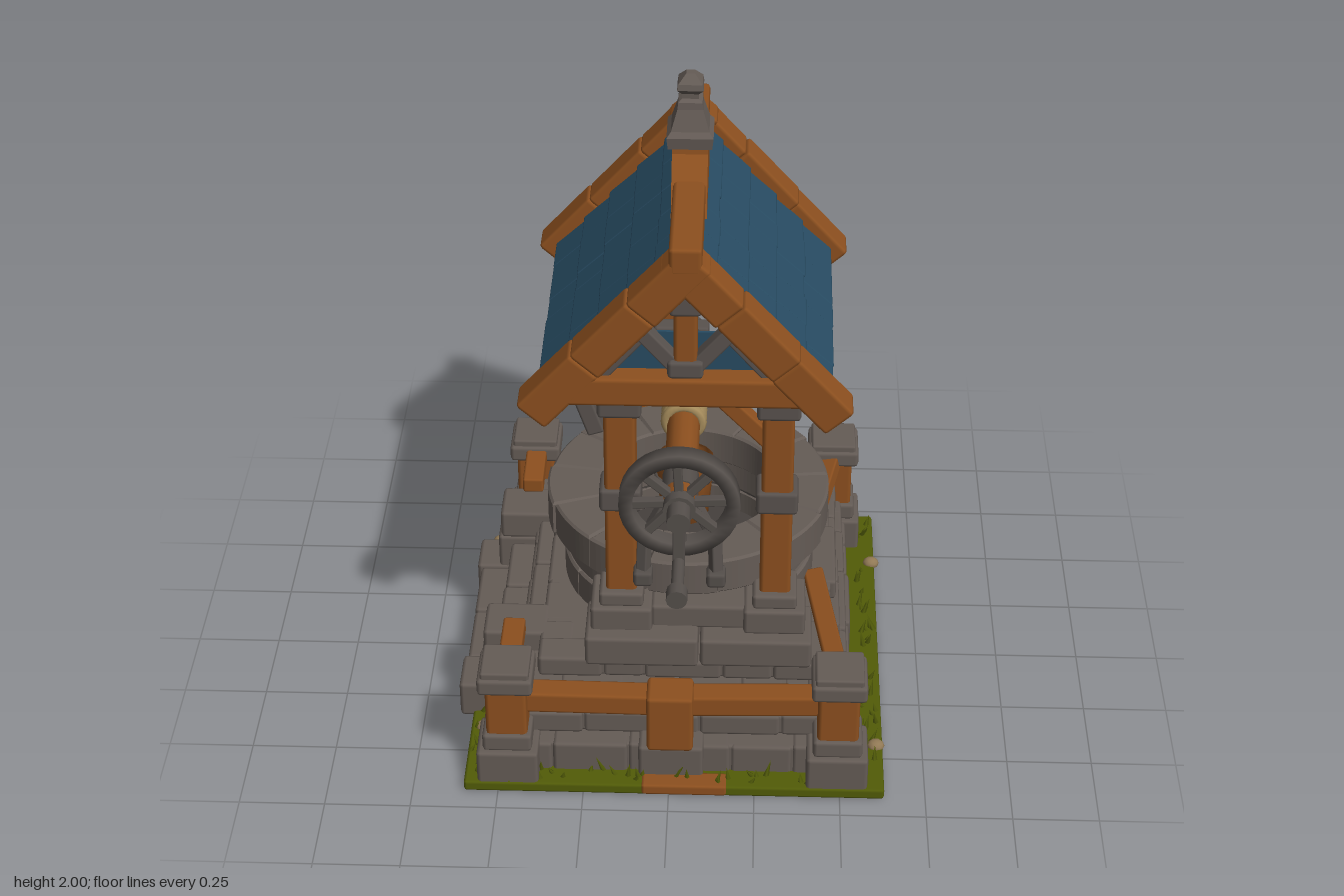
import * as THREE from 'three';
import { RoundedBoxGeometry } from 'three/addons/geometries/RoundedBoxGeometry.js';

const mat = (name, color) => Object.assign(new THREE.MeshStandardMaterial({ color }), { name });
const stone = mat('stone', 0x655c56), darkStone = mat('dark stone', 0x59524e), iron = mat('iron', 0x554f4b);
const wood = mat('wood', 0x8d501f), underWood = mat('shaded wood', 0x6e421c), slate = mat('blue slate', 0x284c63);
const grass = mat('grass', 0x525c08), rope = mat('rope', 0xa68c5c), pebble = mat('pebble', 0x927a56);

let seed = 7;
const rnd = () => (seed = (seed * 16807) % 2147483647) / 2147483647;
const jit = (a) => (rnd() - 0.5) * 2 * a;
const CX = 0.04, CZ = -0.03; // centre of the well and roof

export function createModel() {
  const root = new THREE.Group();
  root.name = 'well';
  const group = (name, parent = root) => {
    const g = new THREE.Group();
    g.name = name;
    parent.add(g);
    return g;
  };
  const add = (name, geo, m, p = [0, 0, 0], parent = root) => {
    const mesh = new THREE.Mesh(geo, m);
    mesh.name = name;
    mesh.position.set(...p);
    parent.add(mesh);
    return mesh;
  };
  // Chamfered block given by its extents
  const box = (name, m, x0, x1, y0, y1, z0, z1, parent = root) => {
    const s = [x1 - x0, y1 - y0, z1 - z0];
    const geo = new RoundedBoxGeometry(...s, 1, Math.min(0.012, Math.min(...s) * 0.25));
    return add(name, geo, m, [(x0 + x1) / 2, (y0 + y1) / 2, (z0 + z1) / 2], parent);
  };
  // Beam or rod between two points
  const span = (name, m, a, b, w, d, parent = root, round = false) => {
    const A = new THREE.Vector3(...a), B = new THREE.Vector3(...b), len = A.distanceTo(B);
    const geo = round ? new THREE.CylinderGeometry(w, d, len, 12)
      : new RoundedBoxGeometry(w, len, d, 1, Math.min(w, d) * 0.15);
    const mesh = add(name, geo, m, A.clone().lerp(B, 0.5).toArray(), parent);
    mesh.quaternion.setFromUnitVectors(new THREE.Vector3(0, 1, 0), B.sub(A).normalize());
    return mesh;
  };
  // Row of masonry around a rectangular core
  const course = (name, x0, x1, y0, y1, z0, z1, n) => {
    const g = group(name), t = 0.1;
    box('core', stone, x0 + 0.008, x1 - 0.008, y0, y1 - 0.004, z0 + 0.008, z1 - 0.008, g);
    const row = (a, b, place) => {
      const step = (b - a) / n;
      let from = a;
      for (let i = 1; i <= n; i++) {
        const to = i === n ? b : a + i * step + jit(step * 0.2);
        place(from + 0.001, to - 0.001, jit(0.005), jit(0.004));
        from = to;
      }
    };
    for (const s of [0, 1]) {
      row(x0, x1, (a, b, o, h) => box('block', stone, a, b, y0, y1 + h, s ? z1 - t : z0 + o, s ? z1 + o : z0 + t, g));
      row(z0, z1, (a, b, o, h) => box('block', stone, s ? x1 - t : x0 + o, s ? x1 + o : x0 + t, y0, y1 + h, a, b, g));
    }
  };

  // Ground: turf, tufts, pebbles and threshold planks
  box('turf', grass, -0.6, 0.63, 0.005, 0.04, -0.68, 0.68);
  const tufts = group('grassTufts');
  for (let i = 0; i < 150; i++) {
    const side = i % 4, u = rnd() * 2 - 1, e = 0.005 + rnd() * 0.05;
    const p = side < 2 ? [0.015 + u * 0.58, (0.67 - e) * (side ? 1 : -1)] : [side === 2 ? 0.62 - e : -0.59 + e, u * 0.64];
    const h = 0.025 + rnd() * 0.035;
    const blade = add('blade', new THREE.ConeGeometry(0.009, h, 4), grass, [p[0], 0.035 + h / 2, p[1]], tufts);
    blade.rotation.set(jit(0.5), 0, jit(0.5));
  }
  for (const [x, z] of [[-0.505, -0.685], [-0.59, -0.5], [-0.25, -0.66], [0.62, -0.42], [0.61, 0.48], [-0.56, 0.43]]) {
    const p = add('pebble', new THREE.IcosahedronGeometry(0.026, 1), pebble, [x, 0.04, z]);
    p.scale.set(1, 0.75, 0.9);
  }
  box('frontThreshold', wood, -0.08, 0.17, 0.008, 0.045, 0.62, 0.685);
  box('backThreshold', wood, -0.08, 0.17, 0.008, 0.045, -0.685, -0.62);

  // Stepped stone platform
  course('lowerCourse', -0.5, 0.54, 0.02, 0.135, -0.61, 0.61, 6);
  course('middleCourse', -0.47, 0.52, 0.135, 0.21, -0.56, 0.56, 5);
  course('upperCourse', -0.45, 0.5, 0.21, 0.28, -0.53, 0.53, 6);
  course('topCourse', -0.39, 0.47, 0.28, 0.345, -0.5, 0.48, 5);

  // Entrance steps and cheek blocks on the right side
  [[-0.63, 0.13], [-0.53, 0.23], [-0.44, 0.32]].forEach(([x, h]) => {
    for (const [a, b] of [[-0.24, -0.02], [-0.015, 0.21]]) box('step', stone, x + jit(0.006), -0.32, 0.02, h, a, b);
  });
  for (const z of [-0.38, 0.215]) {
    box('cheekFoot', stone, -0.64, -0.53, 0.02, 0.14, z, z + 0.145);
    box('cheekMiddle', stone, -0.57, -0.4, 0.02, 0.25, z + 0.005, z + 0.14);
    box('cheekTop', stone, -0.56, -0.37, 0.25, 0.345, z, z + 0.145);
  }

  // Corner bollards
  for (const x of [-0.47, 0.49]) for (const z of [-0.585, 0.59]) {
    const g = group('cornerPost');
    g.position.set(x, 0, z);
    box('foot', stone, -0.09, 0.09, 0.01, 0.145, -0.085, 0.085, g);
    box('collar', stone, -0.072, 0.072, 0.14, 0.2, -0.07, 0.07, g);
    box('post', wood, -0.06, 0.06, 0.19, 0.365, -0.06, 0.06, g);
    box('cap', stone, -0.08, 0.08, 0.355, 0.41, -0.08, 0.08, g);
    box('capTop', stone, -0.07, 0.07, 0.4, 0.43, -0.07, 0.07, g);
  }
  // Rails
  for (const z of [-0.57, 0.575]) {
    const s = Math.sign(z);
    span('rail', wood, [-0.43, 0.285, z], [0.01, 0.28, z], 0.07, 0.075);
    span('rail', wood, [0.01, 0.28, z], [0.45, 0.29, z], 0.07, 0.075);
    box('railPost', wood, -0.065, 0.07, 0.14, 0.335, z - 0.055 + s * 0.015, z + 0.055 + s * 0.015);
    box('railPostFoot', stone, -0.09, 0.1, 0.02, 0.145, z - 0.05, z + 0.06);
  }
  span('leftRail', wood, [0.485, 0.375, 0.55], [0.42, 0.37, 0.08], 0.06, 0.05);
  span('leftRail', wood, [0.485, 0.36, -0.55], [0.42, 0.385, -0.19], 0.06, 0.05);
  box('leftRailBlock', stone, 0.36, 0.49, 0.28, 0.35, -0.2, 0.09);
  for (const s of [-1, 1]) span('rightRail', wood, [-0.465, 0.375, s * 0.55], [-0.465, 0.37, s * 0.35], 0.065, 0.05);

  // Round well wall and rim built from curved stones
  const ring = (name, r0, r1, y0, y1, n, turn) => {
    const g = group(name), step = Math.PI * 2 / n, bevel = 0.007;
    g.position.set(CX, 0, CZ + 0.01);
    for (let i = 0; i < n; i++) {
      const a = turn + i * step + 0.02, b = turn + (i + 1) * step - 0.02, out = r1 + jit(0.005) - bevel;
      const shape = new THREE.Shape();
      shape.absarc(0, 0, out, a, b, false);
      shape.absarc(0, 0, r0 + bevel, b, a, true);
      const geo = new THREE.ExtrudeGeometry(shape, { depth: y1 - y0 - bevel * 2, curveSegments: 5, bevelSize: bevel, bevelThickness: bevel, bevelSegments: 1 });
      add('ringStone', geo.rotateX(-Math.PI / 2), stone, [0, y0 + bevel, 0], g);
    }
  };
  ring('lowerWall', 0.28, 0.375, 0.33, 0.435, 12, 0);
  ring('upperWall', 0.28, 0.372, 0.435, 0.54, 12, 0.26);
  ring('rim', 0.265, 0.422, 0.53, 0.645, 13, 0.1);
  const lining = add('wellLining', new THREE.CylinderGeometry(0.285, 0.285, 0.28, 32, 1, true), mat('well shadow', 0x45403d), [CX, 0.48, CZ + 0.01]);
  lining.material.side = THREE.DoubleSide;
  add('wellFloor', new THREE.CylinderGeometry(0.29, 0.29, 0.01, 32), lining.material, [CX, 0.352, CZ + 0.01]);

  // Stone piers under the roof posts
  box('frontPierBase', stone, -0.25, 0.08, 0.33, 0.43, 0.3, 0.49);
  box('frontPierBase', stone, 0.085, 0.41, 0.33, 0.425, 0.3, 0.485);
  box('frontPierMiddle', stone, -0.06, 0.22, 0.42, 0.5, 0.29, 0.42);
  for (const x of [-0.145, 0.3]) {
    box('frontPier', stone, x - 0.09, x + 0.09, 0.42, 0.505, 0.27, 0.445);
    box('frontPierTop', stone, x - 0.065, x + 0.065, 0.5, 0.55, 0.29, 0.43);
  }
  box('backPierBase', stone, -0.3, 0.16, 0.2, 0.34, -0.62, -0.42);
  box('backPierMiddle', stone, -0.27, 0.1, 0.33, 0.43, -0.6, -0.4);
  box('backPierTop', stone, -0.24, 0.06, 0.42, 0.505, -0.57, -0.4);
  box('backPierCap', stone, -0.215, 0.03, 0.5, 0.55, -0.54, -0.41);

  // Roof posts with stone collars and capitals
  const post = (x, z) => {
    box('roofPost', wood, x - 0.045, x + 0.045, 0.53, 1.24, z - 0.045, z + 0.045);
    box('postCollar', darkStone, x - 0.06, x + 0.06, 0.83, 0.905, z - 0.055, z + 0.055);
    box('postCapital', darkStone, x - 0.062, x + 0.062, 1.15, 1.22, z - 0.055, z + 0.055);
  };
  post(-0.145, 0.362);
  post(0.3, 0.362);
  post(-0.15, -0.475);
  post(-0.045, -0.475);
  box('axleBracket', darkStone, -0.08, 0.09, 0.83, 0.96, -0.43, -0.37);
  for (const x of [-0.145, 0.3]) box('wallPlate', wood, x - 0.04, x + 0.04, 1.2, 1.27, -0.48, 0.38);
  span('brace', wood, [0.11, 1.23, 0.36], [0.28, 1.05, 0.36], 0.05, 0.05);
  span('brace', wood, [-0.15, 1.21, -0.25], [-0.15, 1.0, -0.45], 0.05, 0.045);
  span('eaveBracket', darkStone, [-0.26, 1.23, 0.36], [-0.21, 1.08, 0.36], 0.05, 0.06);

  // Roof: both slopes built in a frame running down from the ridge
  const roof = group('roof');
  roof.position.set(CX, 1.72, -0.04);
  const theta = Math.atan2(0.5, 0.45);
  for (const turn of [0, Math.PI]) {
    const half = group('roofSide', roof), slope = group('slope', half);
    half.rotation.y = turn;
    slope.rotation.z = -theta;
    for (const z of [-0.437, 0.437]) {
      let from = 0.01;
      for (const to of [0.24, 0.47, 0.695]) {
        const o = jit(0.005);
        box('bargeBoard', wood, from, to + 0.004, -0.108 + o, o, z - 0.052 + o, z + 0.052 + o, slope);
        from = to;
      }
    }
    box('roofDeck', underWood, 0.06, 0.62, -0.1, -0.075, -0.39, 0.39, slope);
    for (const x of [0.2, 0.36, 0.52]) box('purlin', underWood, x - 0.025, x + 0.025, -0.125, -0.095, -0.39, 0.39, slope);
    for (let r = 0; r < 5; r++) {
      const row = group('slateRow', slope), n = 5;
      row.position.set(0.03 + r * 0.122, -0.065, 0);
      row.rotation.z = 0.09;
      let z = -0.388;
      for (let i = 1; i <= n; i++) {
        const to = i === n ? 0.388 : -0.388 + i * 0.776 / n + jit(0.04);
        box('slate', slate, 0, 0.136 + jit(0.004), 0, 0.026 + jit(0.0015), z - 0.003, to + 0.003, row);
        z = to;
      }
    }
  }
  box('ridgeBeam', wood, -0.045, 0.045, -0.085, -0.002, -0.49, 0.49, roof);

  // Gable framing at both ends, open above the low slate panel
  for (const z of [0.4, -0.48]) {
    const g = group('gable'), s = Math.sign(z);
    g.position.set(CX, 0, z);
    box('tieBeam', wood, -0.36, 0.34, 1.21, 1.3, -0.045, 0.045, g);
    box('kingPost', wood, -0.033, 0.033, 1.29, 1.63, -0.03, 0.03, g);
    box('kingFoot', darkStone, -0.05, 0.05, 1.3, 1.355, -0.04, 0.04, g);
    box('kingHead', darkStone, -0.045, 0.045, 1.5, 1.59, -0.04, 0.04, g);
    for (const k of [-1, 1]) {
      span('strut', darkStone, [k * 0.03, 1.33, 0], [k * 0.15, 1.47, 0], 0.045, 0.05, g);
      span('sideStrut', darkStone, [k * 0.24, 1.29, 0], [k * 0.12, 1.43, 0], 0.04, 0.045, g);
    }
    const panel = new THREE.Shape([[-0.29, 1.28], [0.29, 1.28], [0.17, 1.42], [-0.17, 1.42]].map((p) => new THREE.Vector2(...p)));
    add('gablePanel', new THREE.ExtrudeGeometry(panel, { depth: 0.008, bevelEnabled: false }), slate, [0, 0, -s * 0.025], g);
  }

  // Ridge saddle and stone finial
  const saddle = new THREE.Shape([[-0.165, 1.63], [0.165, 1.63], [0.12, 1.71], [0.06, 1.775], [0.055, 1.81], [-0.055, 1.81], [-0.06, 1.775], [-0.12, 1.71]].map((p) => new THREE.Vector2(...p)));
  const saddleGeo = new THREE.ExtrudeGeometry(saddle, { depth: 0.1, bevelEnabled: false }).translate(0, 0, -0.05).rotateY(Math.PI / 2);
  add('saddle', saddleGeo, wood, [CX, 0, -0.037]);
  const profile = [[0, 1.78], [0.062, 1.79], [0.066, 1.825], [0.054, 1.84], [0.036, 1.9], [0.034, 1.92], [0.023, 1.928], [0.023, 1.942], [0.037, 1.958], [0.034, 1.975], [0.012, 2], [0, 2]];
  const finialGeo = new THREE.LatheGeometry(profile.map(([r, y]) => new THREE.Vector2(r * 1.4, y)), 4).rotateY(Math.PI / 4).toNonIndexed();
  finialGeo.computeVertexNormals();
  add('finial', finialGeo, stone, [CX, 0, -0.037]);

  // Windlass: axle, rope coil, spoked wheel, stand and crank
  const wx = 0.025, wy = 0.9;
  span('axle', wood, [wx, wy, -0.44], [wx, wy, 0.46], 0.048, 0.048, root, true);
  span('axleEnd', iron, [wx, wy, -0.44], [wx, wy, -0.37], 0.065, 0.065, root, true);
  span('axleEnd', iron, [wx, wy, 0.32], [wx, wy, 0.42], 0.052, 0.052, root, true);
  for (let i = 0; i < 9; i++) add('ropeCoil', new THREE.TorusGeometry(0.052, 0.016, 8, 24), rope, [wx, wy + jit(0.003), -0.125 + i * 0.0225]);
  const wheel = group('wheel');
  wheel.position.set(wx, wy, 0.453);
  const rimGeo = new THREE.LatheGeometry([[0.133, -0.025], [0.172, -0.025], [0.172, 0.025], [0.133, 0.025], [0.133, -0.025]].map((p) => new THREE.Vector2(...p)), 32);
  add('wheelRim', rimGeo.rotateX(Math.PI / 2), iron, [0, 0, 0], wheel);
  for (let i = 0; i < 8; i++) {
    const a = i * Math.PI / 4 + 0.05;
    span('spoke', iron, [0, 0, 0], [Math.cos(a) * 0.14, Math.sin(a) * 0.14, 0], 0.026, 0.026, wheel);
  }
  span('hub', iron, [0, 0, -0.03], [0, 0, 0.045], 0.046, 0.046, wheel, true);
  for (const s of [-1, 1]) {
    span('standArm', iron, [wx + s * 0.04, 0.87, 0.41], [wx + s * 0.1, 0.75, 0.42], 0.03, 0.03);
    span('standLeg', iron, [wx + s * 0.1, 0.765, 0.42], [wx + s * 0.105, 0.63, 0.44], 0.034, 0.034);
    box('standFoot', iron, wx + s * 0.105 - 0.028, wx + s * 0.105 + 0.028, 0.605, 0.655, 0.41, 0.47);
  }
  span('crankShaft', iron, [wx, wy, 0.46], [wx, wy, 0.56], 0.034, 0.034, root, true);
  span('crankArm', iron, [wx, wy, 0.525], [wx, 0.735, 0.525], 0.035, 0.025);
  span('crankHandle', iron, [wx, 0.748, 0.52], [wx, 0.748, 0.67], 0.018, 0.018, root, true);
  span('crankGrip', iron, [wx, 0.748, 0.665], [wx, 0.748, 0.71], 0.03, 0.03, root, true);

  // Bucket hanging on the rope
  const bz = -0.055;
  span('hangingRope', rope, [wx, 0.86, bz], [wx, 0.77, bz], 0.016, 0.016, root, true);
  add('ropeKnot', new THREE.TorusGeometry(0.022, 0.011, 8, 14).rotateY(Math.PI / 2), wood, [wx, 0.785, bz]);
  const bail = add('bucketHandle', new THREE.TorusGeometry(0.082, 0.009, 8, 20, Math.PI), iron, [wx, 0.69, bz]);
  bail.rotation.y = Math.PI / 2;
  const bucketProfile = [[0, 0.5], [0.072, 0.5], [0.09, 0.695], [0.076, 0.695], [0.062, 0.53], [0, 0.53]];
  add('bucket', new THREE.LatheGeometry(bucketProfile.map((p) => new THREE.Vector2(...p)), 16), wood, [wx, 0, bz]);
  add('bucketHoop', new THREE.TorusGeometry(0.086, 0.008, 6, 20).rotateX(Math.PI / 2), iron, [wx, 0.645, bz]);
  return root;
}
